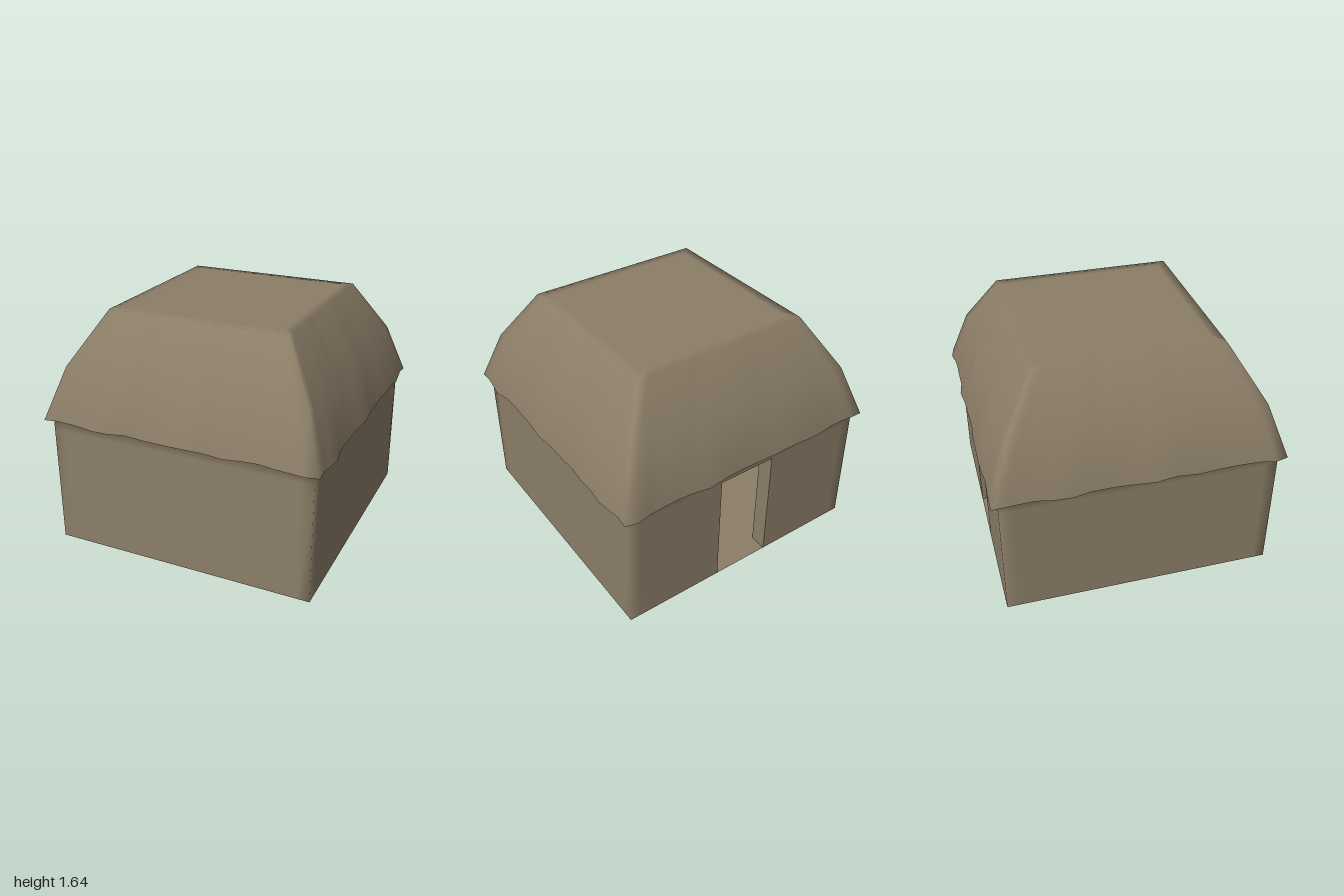
import * as THREE from 'three';
import { mergeVertices } from 'three/addons/utils/BufferGeometryUtils.js';

const WALL = 0.93, ROOM = 0.81, DOOR = 0.21, LINTEL = 0.84;
const DOOR_U = DOOR / WALL;

// Positions along one side, as fractions of its half width
const half = [DOOR_U, 0.36, 0.48, 0.6, 0.72, 0.82, 0.91, 1];
const US = [...half.map(u => -u).reverse(), -0.08, 0.08, ...half];

// Point on a square ring; side 0 is the front, then right-hand turns
function ringPoint({ h, y, ragged }, side, u) {
  let out = h;
  let py = y;
  if (ragged && Math.abs(u) < 1) {
    const wave = Math.sin(u * 9 + side * 2.1) + 0.7 * Math.sin(u * 21 + side * 4.3);
    out += 0.012 * wave * (wave > 0 ? 1 : 0.3);
    py += 0.007 * Math.sin(u * 13 + side * 1.7) + 0.002;
  }
  let x = Math.abs(u) < 0.3 && h > 0.5 ? u * WALL : u * h;
  let z = out;
  for (let i = 0; i < side; i++) [x, z] = [z, -x];
  return [x, py, z];
}

function pushQuad(list, a, b, c, d) {
  list.push(...a, ...b, ...c, ...a, ...c, ...d);
}

// Joins square rings into a skin, leaving the doorway open in the back
function skin(list, rings) {
  for (let r = 0; r < rings.length - 1; r++) {
    const lo = rings[r], hi = rings[r + 1];
    for (let side = 0; side < 4; side++) {
      for (let i = 0; i < US.length - 1; i++) {
        const u0 = US[i], u1 = US[i + 1];
        const inDoor = side === 2 && Math.abs(u0 + u1) / 2 < DOOR_U
          && lo.h === hi.h && Math.max(lo.y, hi.y) <= LINTEL;
        if (inDoor) continue;
        pushQuad(list, ringPoint(lo, side, u0), ringPoint(lo, side, u1),
          ringPoint(hi, side, u1), ringPoint(hi, side, u0));
      }
    }
  }
}

function smoothMesh(name, list, material) {
  let geo = new THREE.BufferGeometry();
  geo.setAttribute('position', new THREE.Float32BufferAttribute(list, 3));
  geo = mergeVertices(geo, 1e-4);
  geo.computeVertexNormals();
  const mesh = new THREE.Mesh(geo, material);
  mesh.name = name;
  return mesh;
}

export function createModel() {
  const group = new THREE.Group();
  group.name = 'hut';
  const clay = new THREE.MeshStandardMaterial({ color: 0x8c7e68, side: THREE.DoubleSide });
  clay.name = 'clay brown';

  // Outer walls flowing into the ragged eave and hipped roof
  const shell = [];
  skin(shell, [
    { h: WALL, y: 0 }, { h: WALL, y: 0.72 }, { h: WALL, y: LINTEL }, { h: WALL, y: 0.935 },
    { h: 0.975, y: 0.917, ragged: true },
    { h: 0.85, y: 1.28 }, { h: 0.63, y: 1.64 }, { h: 0.56, y: 1.64 }, { h: 0, y: 1.64 },
  ]);
  group.add(smoothMesh('wallsAndRoof', shell, clay));

  // Inner room walls and ceiling, facing inwards
  const room = [];
  skin(room, [
    { h: 0, y: 0.88 }, { h: ROOM, y: 0.88 }, { h: ROOM, y: LINTEL }, { h: ROOM, y: 0 },
  ]);
  group.add(smoothMesh('innerRoom', room, clay));

  // Doorway lining: two jambs, lintel and sill
  const frame = [
    [-DOOR, 0, -DOOR, LINTEL], [-DOOR, LINTEL, DOOR, LINTEL],
    [DOOR, LINTEL, DOOR, 0], [DOOR, 0, -DOOR, 0],
  ];
  frame.forEach(([x0, y0, x1, y1], i) => {
    const list = [];
    pushQuad(list, [x0, y0, -WALL], [x1, y1, -WALL], [x1, y1, -ROOM], [x0, y0, -ROOM]);
    group.add(smoothMesh(['rightJamb', 'lintel', 'leftJamb', 'sill'][i], list, clay));
  });

  // Floor
  const floor = new THREE.Mesh(new THREE.PlaneGeometry(ROOM * 2, ROOM * 2).rotateX(-Math.PI / 2), clay);
  floor.name = 'floor';
  group.add(floor);

  return group;
}
